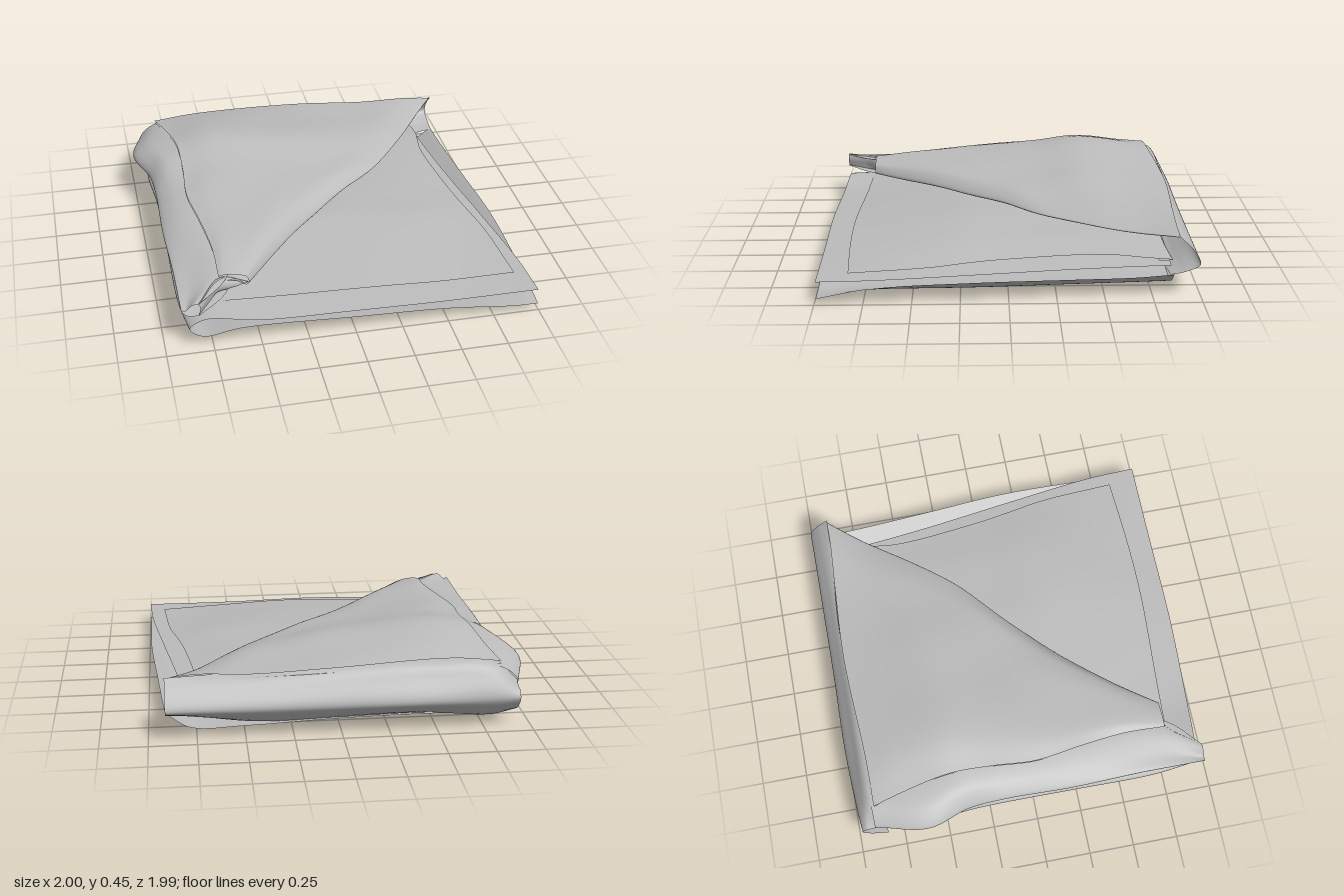
import * as THREE from 'three';

const cloth = new THREE.MeshStandardMaterial({ color: 0xbcbcbc, side: THREE.DoubleSide });
cloth.name = 'grey cloth';

// Smooth cloth surface lofted through rows of [x, y, z] control points
function loft(name, rows, nu = 48, nv = 40, wrinkle = 0) {
  const curve = (points) => new THREE.CatmullRomCurve3(points, false, 'centripetal');
  const rails = rows.map((row) => curve(row.map((p) => new THREE.Vector3(...p))));
  const position = [];
  const index = [];
  for (let i = 0; i <= nu; i++) {
    const across = curve(rails.map((rail) => rail.getPoint(i / nu)));
    for (let j = 0; j <= nv; j++) {
      const p = across.getPoint(j / nv);
      const soft = Math.sin(Math.PI * i / nu) * Math.sin(Math.PI * j / nv);
      p.y += wrinkle * soft * Math.sin(9 * p.x + 4 * p.z) * Math.cos(7 * p.z - 3 * p.x);
      position.push(p.x, p.y, p.z);
      if (i < nu && j < nv) {
        const a = i * (nv + 1) + j;
        const b = a + nv + 1;
        index.push(a, a + 1, b, b, a + 1, b + 1);
      }
    }
  }
  const geometry = new THREE.BufferGeometry();
  geometry.setAttribute('position', new THREE.Float32BufferAttribute(position, 3));
  geometry.setIndex(index);
  geometry.computeVertexNormals();
  const mesh = new THREE.Mesh(geometry, cloth);
  mesh.name = name;
  return mesh;
}

export function createModel() {
  const group = new THREE.Group();
  group.name = 'foldedCloth';

  // Lower two layers, joined at the left edge:
  // [z, left x, upper right x, lower right x, fold bottom y, middle bottom y, right edge y, upper y]
  const lower = [
    [-0.86, -0.89, 0.79, 0.91, 0.05, 0.055, 0.12, 0.15],
    [-0.66, -0.92, 0.805, 0.925, 0.005, 0.055, 0.11, 0.15],
    [-0.3, -0.90, 0.845, 0.95, 0.04, 0.055, 0.11, 0.155],
    [0.2, -0.90, 0.915, 0.985, 0.045, 0.055, 0.11, 0.165],
    [0.7, -0.90, 0.98, 0.99, 0.045, 0.06, 0.085, 0.15],
    [0.97, -0.87, 0.995, 1.0, 0.06, 0.095, 0.035, 0.135],
  ].map(([z, l, r2, r, yb, ym, yr, yt], i) => {
    const bow = i === 5 ? 0.02 : 0;
    return [
      [r2, 0.125, z + bow], [0.5, yt - 0.01, z + bow], [0, yt, z + bow],
      [-0.5, yt, z], [l + 0.08, 0.165, z - bow], [l, 0.115, z - bow], [l + 0.07, yb, z - bow],
      [-0.6, ym + 0.005, z], [0, ym, z + bow], [0.5, 0.035 + (ym - 0.055), z + bow],
      [r - 0.13, 0.037, z + bow], [r, yr, z + bow],
    ];
  });
  group.add(loft('lowerSheets', lower, 84, 30));

  // Third layer, starting at a fold with the second along the back: [z, right x, middle y, right y]
  const inner = [
    [-0.8, 0.76, 0.155, 0.14], [-0.87, 0.77, 0.175, 0.15], [-0.74, 0.78, 0.2, 0.165],
    [-0.5, 0.75, 0.215, 0.175], [0, 0.8, 0.225, 0.17], [0.2, 0.835, 0.23, 0.165],
    [0.4, 0.875, 0.215, 0.155], [0.83, 0.91, 0.17, 0.14],
  ].map(([z, r, ym, yr]) => [
    [-0.84, Math.min(ym, 0.195), z - 0.03], [-0.4, ym - 0.005, z - 0.01], [0.15, ym, z + 0.02],
    [0.5, ym - 0.015, z + 0.02], [r, yr, z],
  ]);
  group.add(loft('innerSheet', inner, 40, 36, 0.006));

  // Pointed fold along the back: [x, top y, outer z, bottom y, inner z]
  const back = [
    [-0.93, 0.25, -0.975, 0.06, -0.88], [-0.8, 0.36, -0.985, 0.035, -0.82],
    [-0.45, 0.38, -1, 0.06, -0.82], [0, 0.365, -0.995, 0.055, -0.84],
    [0.45, 0.34, -0.995, 0.05, -0.84], [0.91, 0.335, -0.995, 0.12, -0.885],
  ].map(([x, yt, zo, yb, zi]) => [
    [x, yb, -0.84], [x, yb * 0.55 + 0.07, -0.92], [x, 0.175, zo],
    [x, yt * 0.6 + 0.06, -0.95], [x, yt - 0.03, -0.905], [x, yt - 0.01, zi],
  ]);
  group.add(loft('backFold', back));

  // Upper fold along the left: [z, left x, inner x, top y, edge y]
  const left = [
    [-0.9, -0.93, -0.7, 0.345, 0.24], [-0.61, -1.0, -0.68, 0.385, 0.27],
    [-0.38, -0.93, -0.65, 0.4, 0.26], [-0.15, -0.915, -0.65, 0.365, 0.26],
    [0.2, -0.92, -0.63, 0.345, 0.25], [0.6, -0.91, -0.6, 0.315, 0.25],
    [0.8, -0.91, -0.66, 0.3, 0.25], [0.965, -0.91, -0.82, 0.285, 0.25],
  ].map(([z, l, xi, yt, ye]) => {
    const w = xi - l;
    return [
      [xi, yt - 0.01, z], [l + w * 0.65, yt - 0.01, z], [l + w * 0.25, yt - 0.04, z],
      [l, ye, z], [l + w * 0.3, 0.215, z], [l + w, 0.205, z],
    ];
  });
  group.add(loft('leftFold', left, 40, 44));

  // Top layer doubled back along the diagonal:
  // [z, left x, left y, peak y, slope along x, diagonal x, edge y]
  const flap = [
    [-0.885, -0.84, 0.35, 0.375, 0.03, 0.9, 0.32], [-0.72, -0.8, 0.375, 0.415, 0.07, 0.77, 0.295],
    [-0.45, -0.755, 0.415, 0.45, 0.1, 0.58, 0.28], [-0.2, -0.75, 0.385, 0.41, 0.08, 0.38, 0.275],
    [0.03, -0.76, 0.365, 0.39, 0.06, 0.12, 0.26], [0.3, -0.72, 0.35, 0.365, 0.05, -0.15, 0.25],
    [0.55, -0.69, 0.33, 0.345, 0.04, -0.36, 0.245], [0.78, -0.69, 0.305, 0.31, 0.03, -0.53, 0.245],
  ].map(([z, l, yl, ym, slope, d, yd], i) => {
    const at = (f) => l + (d - l) * f;
    const top = (f) => ym - slope * (at(f) - at(0.15));
    const bow = i === 0 ? -0.03 : 0;
    return [
      [l, yl, z], [at(0.15), ym, z], [at(0.5), top(0.5), z + bow],
      [at(0.75), top(0.75) - 0.01, z + bow / 2], [at(0.91), (top(0.9) + yd) / 2 + 0.01, z],
      [d, yd, z], [at(0.91), yd - 0.01, z],
      [at(0.6), (top(0.6) + yd) / 2 - 0.01, z + bow], [at(0.25), top(0.25) - 0.035, z],
      [l, yl - 0.015, z],
    ];
  });
  group.add(loft('topFlap', flap, 72, 48, 0.008));

  // Pinched front corner where the flap meets the left fold
  group.add(loft('frontCorner', [
    [[-0.53, 0.245, 0.77], [-0.6, 0.23, 0.78], [-0.7, 0.21, 0.78]],
    [[-0.68, 0.3, 0.78], [-0.7, 0.26, 0.81], [-0.72, 0.21, 0.81]],
    [[-0.82, 0.28, 0.965], [-0.81, 0.25, 0.965], [-0.82, 0.21, 0.965]],
  ], 8, 12));

  return group;
}
